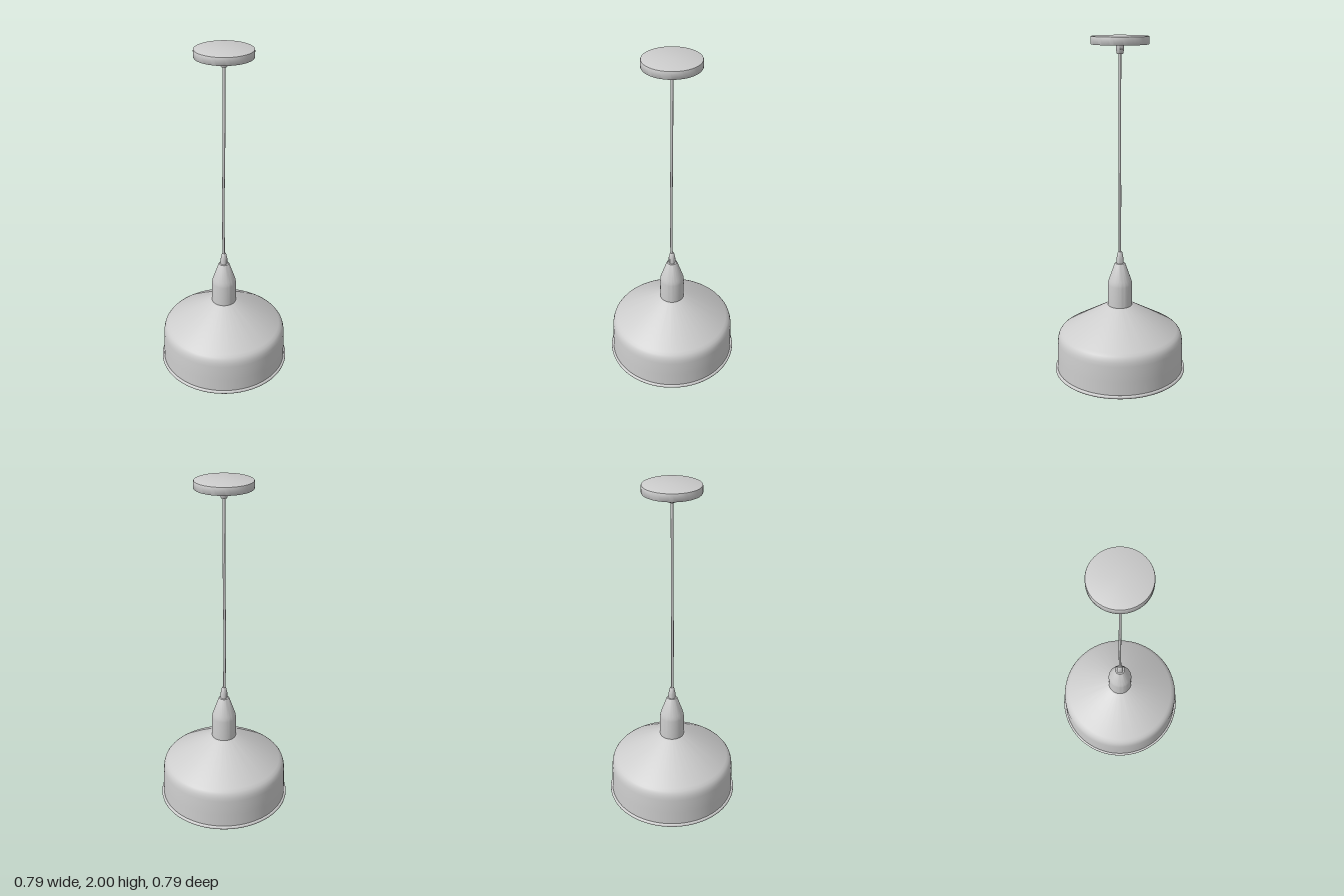
import * as THREE from 'three';
import { toCreasedNormals } from 'three/addons/utils/BufferGeometryUtils.js';

export function createModel() {
  const lamp = new THREE.Group();
  lamp.name = 'pendantLamp';
  const grey = new THREE.MeshStandardMaterial({ color: 0xcccccc });
  grey.name = 'light grey';

  const add = (name, geometry) => {
    const mesh = new THREE.Mesh(geometry, grey);
    mesh.name = name;
    lamp.add(mesh);
    return mesh;
  };
  // Turned part from [radius, height] pairs, listed from the bottom up
  const turned = (name, profile, segments = 64) => {
    const points = profile.map(([r, y]) => new THREE.Vector2(r, y));
    return add(name, toCreasedNormals(new THREE.LatheGeometry(points, segments), 0.6));
  };

  // Ceiling canopy: shallow disc with a softened top edge
  turned('canopy', [[0, 1.955], [0.16, 1.955], [0.162, 1.958], [0.162, 1.992],
    [0.16, 1.998], [0.155, 2], [0, 2]], 96);

  // Cord grip under the canopy with its small side screw
  turned('upperCordGrip', [[0, 1.902], [0.016, 1.902], [0.019, 1.908], [0.023, 1.935],
    [0.023, 1.957], [0, 1.957]], 32);
  const screw = add('gripScrew', new THREE.CylinderGeometry(0.006, 0.006, 0.012, 16));
  screw.rotation.x = Math.PI / 2;
  screw.position.set(0, 1.93, -0.024);

  // Cord with a very slight natural bow
  const cordPath = new THREE.CatmullRomCurve3([
    new THREE.Vector3(0, 0.74, 0.003),
    new THREE.Vector3(-0.001, 1.1, 0.004),
    new THREE.Vector3(0.001, 1.5, 0.001),
    new THREE.Vector3(0, 1.92, 0),
  ]);
  add('cord', new THREE.TubeGeometry(cordPath, 40, 0.0075, 16));

  // Strain relief on top of the socket cover
  turned('lowerCordGrip', [[0, 0.68], [0.02, 0.68], [0.02, 0.718], [0.013, 0.752],
    [0.01, 0.756], [0, 0.756]], 32);

  // Socket cover: cylinder tapering to a narrow top
  turned('socketCover', [[0, 0.415], [0.074, 0.415], [0.073, 0.55], [0.071, 0.565],
    [0.066, 0.582], [0.033, 0.678], [0.029, 0.684], [0, 0.685]]);

  // Hollow shade: outer surface going up, inner surface coming back down
  turned('shade', [
    [0.384, 0.014], [0.382, 0.1], [0.379, 0.195], [0.376, 0.217], [0.37, 0.236], [0.36, 0.25],
    [0.345, 0.262], [0.085, 0.417], [0.07, 0.423], [0.03, 0.423],
    [0.03, 0.416], [0.068, 0.416], [0.082, 0.41], [0.341, 0.256],
    [0.355, 0.245], [0.364, 0.233], [0.37, 0.215], [0.373, 0.195], [0.376, 0.1], [0.378, 0.014],
  ], 128);

  // Rolled rim at the mouth of the shade
  const rim = add('shadeRim', new THREE.TorusGeometry(0.387, 0.01, 12, 128));
  rim.rotation.x = Math.PI / 2;
  rim.position.y = 0.01;

  // Bulb: globe narrowing into its neck
  const globe = [];
  for (let i = 0; i <= 18; i++) {
    const a = -Math.PI / 2 + (i / 18) * 2.3;
    globe.push([0.118 * Math.cos(a), 0.268 + 0.118 * Math.sin(a)]);
  }
  turned('bulb', [...globe, [0.06, 0.372], [0.045, 0.39], [0.04, 0.42]]);

  // Socket holding the bulb
  turned('socket', [[0, 0.385], [0.052, 0.385], [0.052, 0.42], [0, 0.42]], 48);

  return lamp;
}
